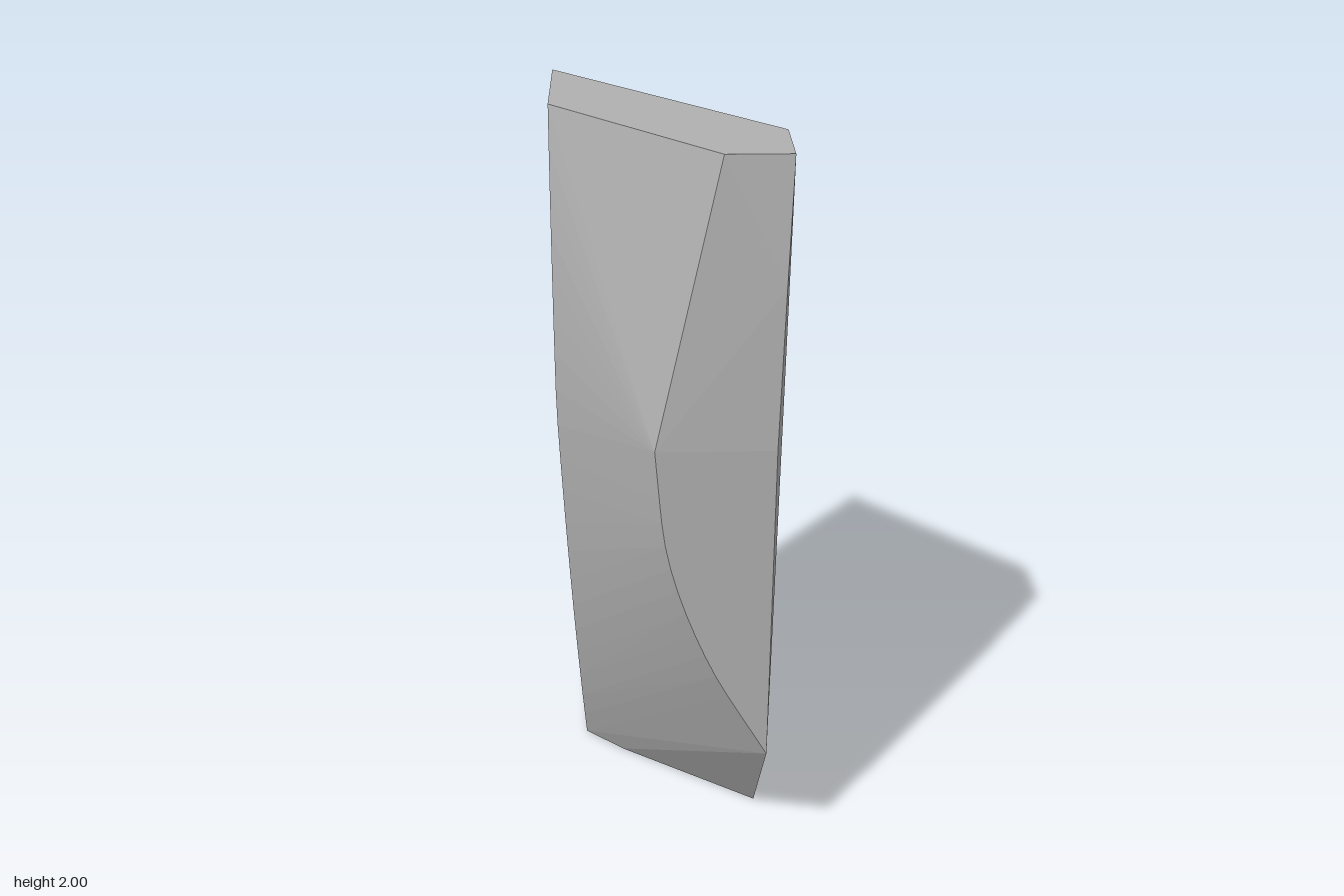
import * as THREE from 'three';
import { ConvexGeometry } from 'three/addons/geometries/ConvexGeometry.js';

export function createModel() {
  const stone = new THREE.MeshStandardMaterial({ color: 0xb0b0b0 });
  stone.name = 'stone grey';
  const points = [];
  const add = (x, y, z) => points.push(new THREE.Vector3(x, y, z));

  // flat back: four corners
  add(-0.23, 0, -0.475);
  add(0.255, 0, -0.05);
  add(0.275, 2, 0.25);
  add(-0.275, 2, -0.285);

  // chamfered foot at the front
  add(0.255, 0, 0.165);
  add(-0.12, 0, -0.075);

  // bowed edge between the left side and the curved front
  const rows = 20;
  for (let i = 0; i <= rows; i++) {
    const y = (2 * i) / rows;
    const x = -0.23 - 0.045 * Math.min(1, y / 1.25);
    add(x, y, -0.165 + 0.4675 * y - 0.185 * y * y);
  }

  // arc that bounds the flat front facet
  const arc = new THREE.CatmullRomCurve3([
    [0.255, 0.41], [0.1, 0.7], [0, 1], [-0.033, 1.3],
  ].map(([x, y]) => new THREE.Vector3(x, y, 0.475)));
  points.push(...arc.getPoints(14));

  // front right edge, leaning back to the top
  add(0.255, 1.3, 0.475);
  add(0.265, 1.7, 0.457);
  add(0.275, 2, 0.43);
  add(0.12, 2, 0.43);

  const shard = new THREE.Mesh(new ConvexGeometry(points), stone);
  shard.name = 'stoneShard';
  const group = new THREE.Group();
  group.name = 'shard';
  group.add(shard);
  return group;
}
